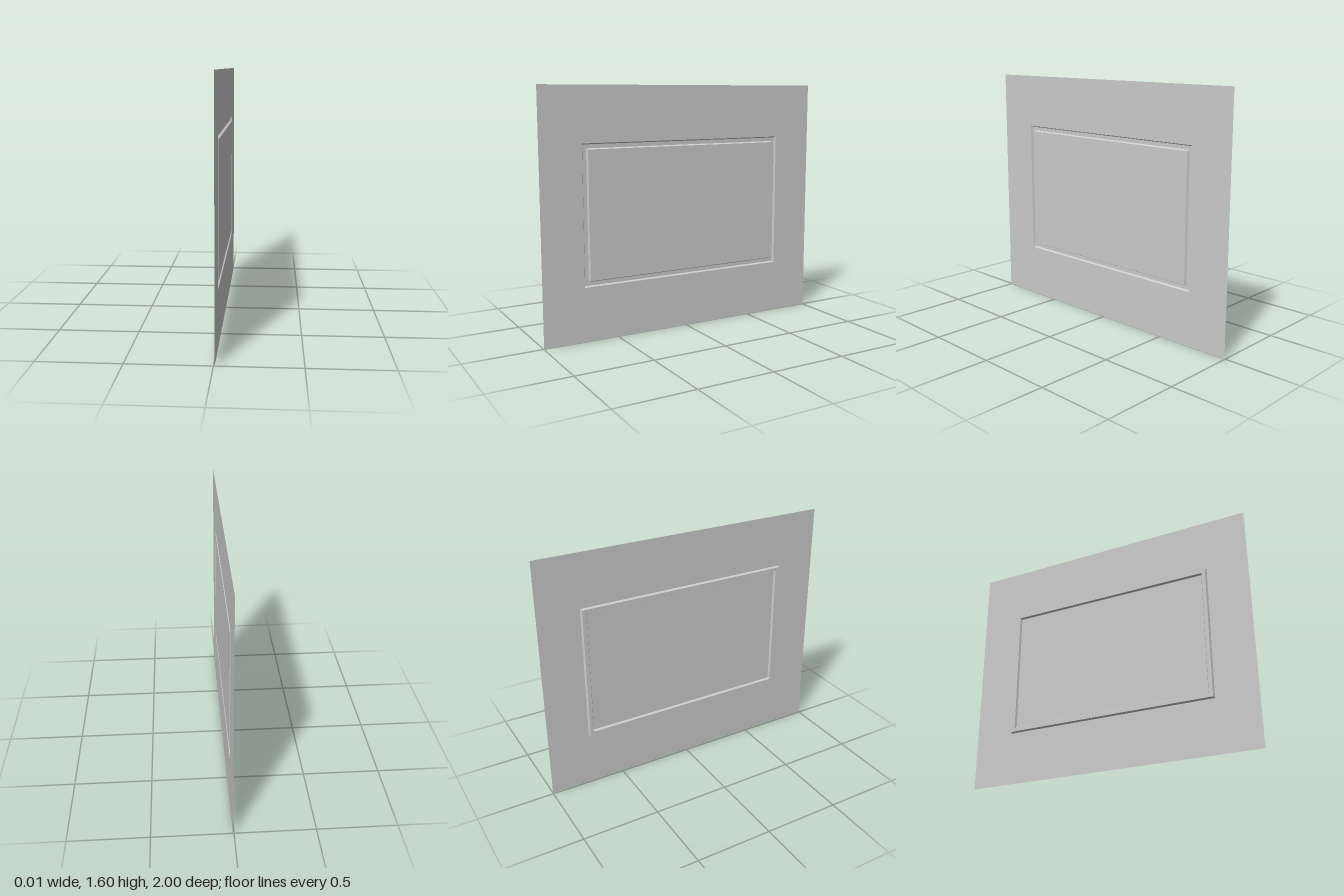
import * as THREE from 'three';

const CENTRE_Y = 0.801, FACE = 0.007, FLOOR = -0.007;

// Concentric rectangles across the panel: half width (z), half height (y), depth (x)
const RINGS = {
  edge: [1, 0.801, FACE],
  outerLip: [0.725, 0.449, FACE],
  outerFloor: [0.718, 0.442, FLOOR],
  innerFloor: [0.693, 0.418, FLOOR],
  innerLip: [0.686, 0.411, FACE],
};

// Corners run counter-clockwise as seen from +x
const corners = ([w, h, x]) =>
  [[1, -1], [-1, -1], [-1, 1], [1, 1]].map(([sz, sy]) => [x, CENTRE_Y + sy * h, sz * w]);

// Join successive rectangles with mitred bands, optionally filling the last one
function panel(name, rings, filled = false) {
  const pos = [];
  const quad = (a, b, c, d) => pos.push(...a, ...b, ...c, ...a, ...c, ...d);
  const loops = rings.map(corners);
  for (let r = 0; r + 1 < loops.length; r++) {
    for (let i = 0; i < 4; i++) {
      const j = (i + 1) % 4;
      quad(loops[r][i], loops[r][j], loops[r + 1][j], loops[r + 1][i]);
    }
  }
  if (filled) quad(...loops[loops.length - 1]);
  const geo = new THREE.BufferGeometry();
  geo.setAttribute('position', new THREE.Float32BufferAttribute(pos, 3));
  geo.computeVertexNormals();
  const mesh = new THREE.Mesh(geo, new THREE.MeshStandardMaterial({
    color: 0xcccccc, flatShading: true, side: THREE.DoubleSide,
  }));
  mesh.name = name;
  return mesh;
}

export function createModel() {
  const group = new THREE.Group();
  group.name = 'wallPanel';
  const { edge, outerLip, outerFloor, innerFloor, innerLip } = RINGS;
  group.add(
    panel('surround', [edge, outerLip]),
    // Groove sunk towards -x, showing as a raised band on the other side
    panel('grooveFrame', [outerLip, outerFloor, innerFloor, innerLip]),
    panel('centrePanel', [innerLip], true),
  );
  return group;
}
